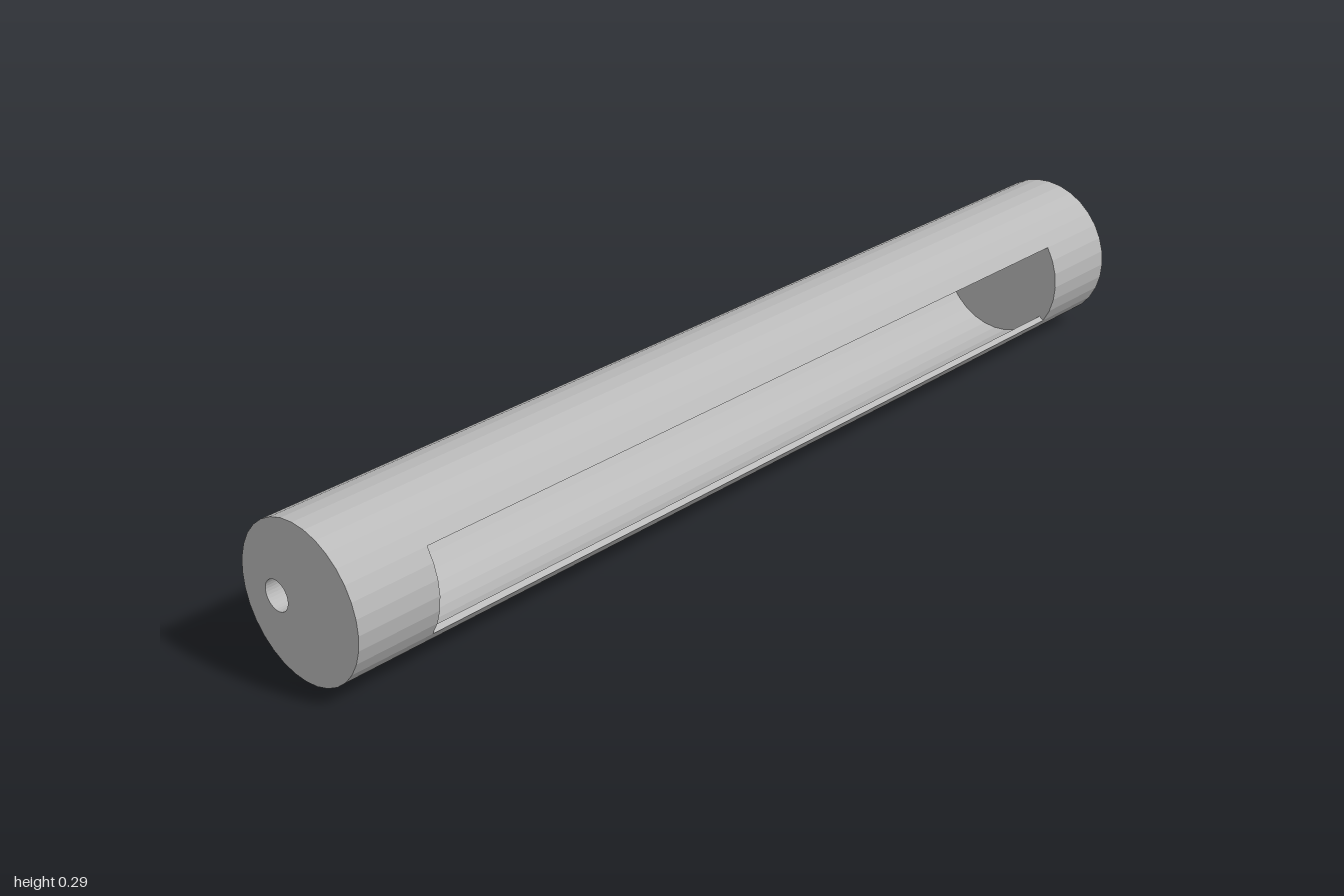
import * as THREE from 'three';

const R = 0.147, INNER = 0.135, SIDES = 32;
const SLOT_STEPS = 3;      // facets open above and below the middle of the slot
const SLOT_END = 0.833;    // half length of the slot

// Points on a circle, from facet step a to step b
function arc(radius, a, b, sides = SIDES, cx = 0, cy = 0) {
  const points = [];
  const dir = Math.sign(b - a);
  for (let i = 0; i <= Math.abs(b - a); i++) {
    const t = ((a + dir * i) / sides) * Math.PI * 2;
    points.push(new THREE.Vector2(cx + radius * Math.cos(t), cy + radius * Math.sin(t)));
  }
  return points;
}

export function createModel() {
  const group = new THREE.Group();
  group.name = 'slottedTube';
  const grey = new THREE.MeshStandardMaterial({ color: 0xbababa });
  grey.name = 'grey';

  // Extrudes a cross-section from z0 to z1
  function addPart(name, shape, z0, z1) {
    const geometry = new THREE.ExtrudeGeometry(shape, { depth: z1 - z0, bevelEnabled: false });
    const mesh = new THREE.Mesh(geometry, grey);
    mesh.name = name;
    mesh.position.set(0, R, z0);
    group.add(mesh);
  }

  // Thin wall, open along the left side
  const wall = new THREE.Shape([
    ...arc(R, SLOT_STEPS, SIDES - SLOT_STEPS),
    ...arc(INNER, SIDES - SLOT_STEPS, SLOT_STEPS),
  ]);
  addPart('slottedWall', wall, -SLOT_END, SLOT_END);

  // Solid back end
  addPart('backEnd', new THREE.Shape(arc(R, 0, SIDES - 1)), -1, -SLOT_END);

  // Front end with a small off-centre hole
  const front = new THREE.Shape(arc(R, 0, SIDES - 1));
  front.holes.push(new THREE.Path(arc(0.029, 0, 31, 32, -0.059, -0.01)));
  addPart('frontEnd', front, SLOT_END, 1);

  return group;
}
